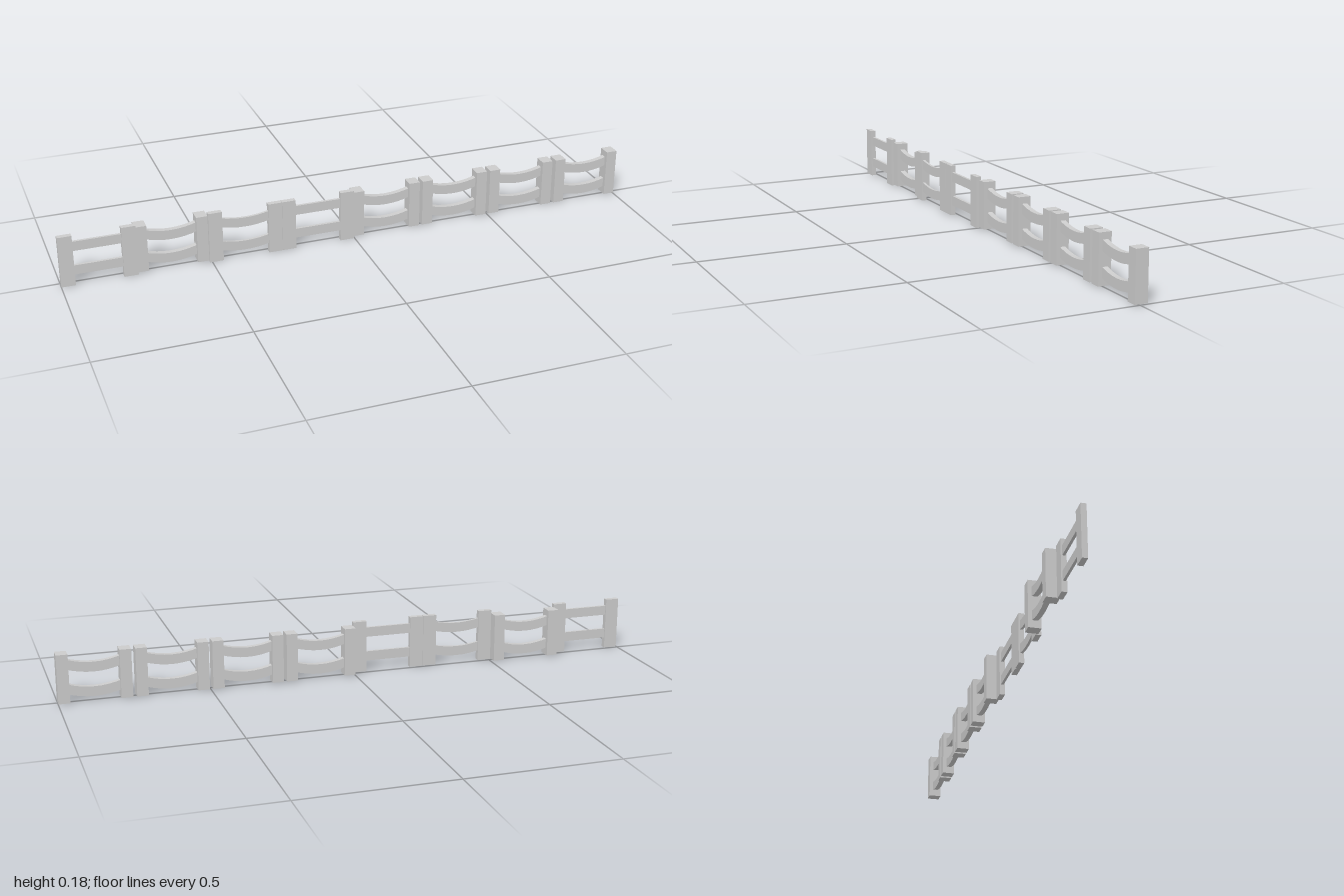
import * as THREE from 'three';

const material = new THREE.MeshStandardMaterial({ color: 0xcccccc, flatShading: true });

// Two fence styles: flat boards and chunky posts
const BOARD = { width: 0.252, post: 0.047, y0: 0, y1: 0.178, z: 0.018, depth: 0.018, railDepth: 0.009, rails: [0.138, 0.053] };
const CHUNKY = { width: 0.241, post: 0.038, y0: 0.003, y1: 0.167, z: -0.0035, depth: 0.043, railDepth: 0.018, rails: [0.131, 0.048] };
const RAIL_HEIGHT = 0.033;

// Left-to-right fence sections: start x, style, how far the rails sag
const SECTIONS = [
  [-1, BOARD, 0],
  [-0.749, CHUNKY, 0.016],
  [-0.508, BOARD, 0.012],
  [-0.255, BOARD, 0],
  [0, CHUNKY, 0.016],
  [0.252, CHUNKY, 0.016],
  [0.505, CHUNKY, 0.016],
  [0.759, CHUNKY, 0.016],
];

// Rail outline: a band following a parabola, extruded through its depth
function railGeometry(length, sag, depth) {
  const steps = sag ? 8 : 1;
  const top = [], bottom = [];
  for (let i = 0; i <= steps; i++) {
    const t = (i / steps) * 2 - 1;
    const y = -sag * (1 - t * t);
    top.push(new THREE.Vector2((t * length) / 2, y + RAIL_HEIGHT / 2));
    bottom.push(new THREE.Vector2((t * length) / 2, y - RAIL_HEIGHT / 2));
  }
  const shape = new THREE.Shape([...bottom, ...top.reverse()]);
  const geometry = new THREE.ExtrudeGeometry(shape, { depth, bevelEnabled: false });
  return geometry.translate(0, 0, -depth / 2);
}

function addMesh(group, name, geometry, x, y, z) {
  const mesh = new THREE.Mesh(geometry, material);
  mesh.name = name;
  mesh.position.set(x, y, z);
  group.add(mesh);
}

function createSection(startX, style, sag) {
  const section = new THREE.Group();
  section.name = 'fenceSection';
  const { width, post, y0, y1, z, depth, railDepth, rails } = style;
  const centre = startX + width / 2;

  // Posts at both ends
  const postGeometry = new THREE.BoxGeometry(post, y1 - y0, depth);
  for (const side of [-1, 1]) {
    addMesh(section, side < 0 ? 'rightPost' : 'leftPost', postGeometry,
      centre + (side * (width - post)) / 2, (y0 + y1) / 2, z);
  }

  // Upper and lower rails, let slightly into the posts
  const rail = railGeometry(width - post * 2 + 0.02, sag, railDepth);
  rails.forEach((y, i) => addMesh(section, i ? 'lowerRail' : 'upperRail', rail, centre, y, z));
  return section;
}

export function createModel() {
  const fence = new THREE.Group();
  fence.name = 'fence';
  for (const [x, style, sag] of SECTIONS) fence.add(createSection(x, style, sag));
  return fence;
}
